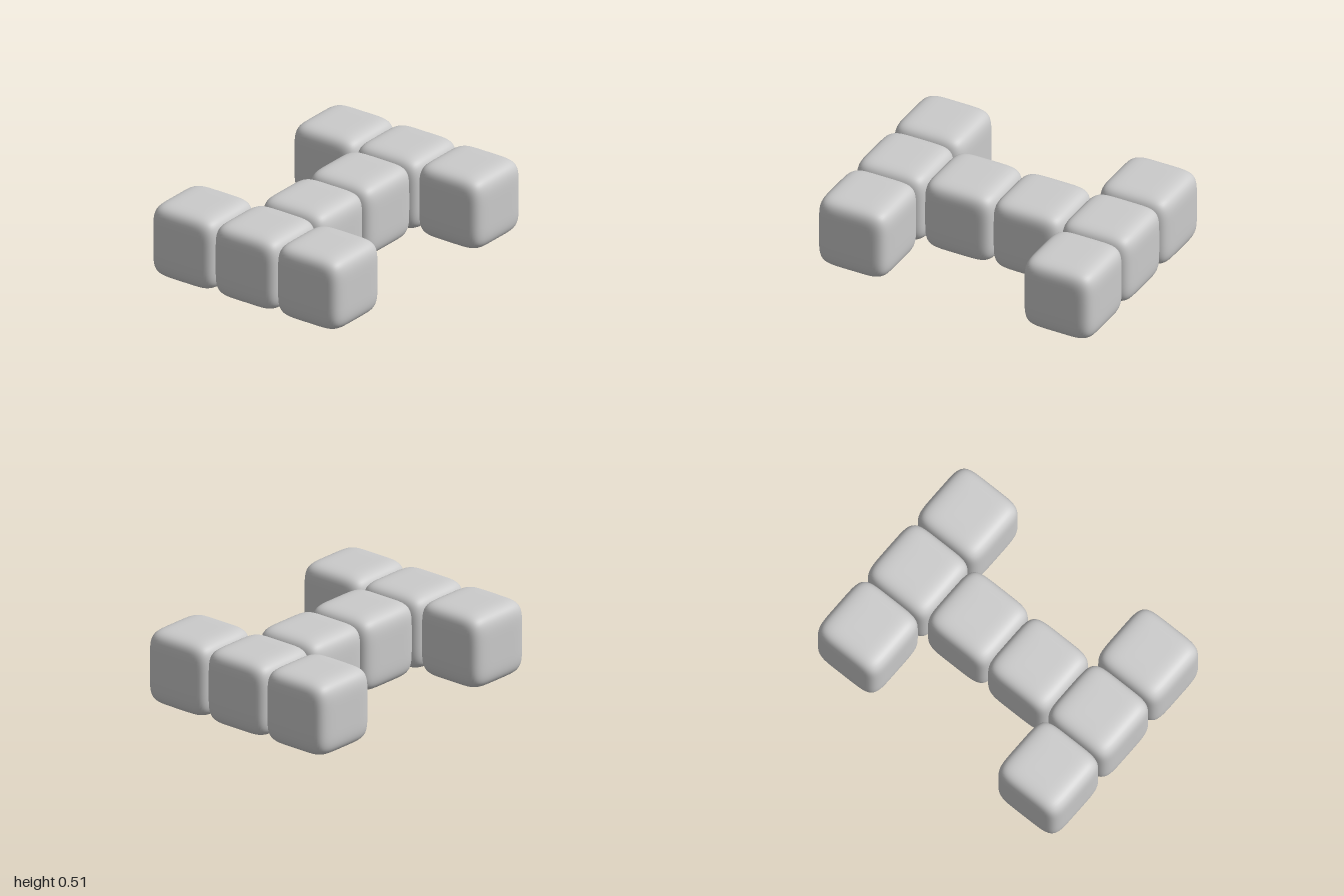
import * as THREE from 'three';

const SIZE = 0.509;   // full width of one block
const STEP = 0.497;   // spacing, so neighbours just touch
const POWER = 5.7;    // higher is boxier

// Soft cube with gently bulging faces: a box grid projected onto a superellipsoid
function softCube() {
  const geo = new THREE.BoxGeometry(2, 2, 2, 24, 24, 24);
  const pos = geo.attributes.position;
  const nor = geo.attributes.normal;
  const p = new THREE.Vector3();
  const n = new THREE.Vector3();
  const slope = (v) => Math.sign(v) * Math.abs(v) ** (POWER - 1);
  for (let i = 0; i < pos.count; i++) {
    p.fromBufferAttribute(pos, i);
    const sum = Math.abs(p.x) ** POWER + Math.abs(p.y) ** POWER + Math.abs(p.z) ** POWER;
    p.divideScalar(sum ** (1 / POWER));
    n.set(slope(p.x), slope(p.y), slope(p.z)).normalize();
    p.multiplyScalar(SIZE / 2);
    pos.setXYZ(i, p.x, p.y, p.z);
    nor.setXYZ(i, n.x, n.y, n.z);
  }
  return geo;
}

export function createModel() {
  const model = new THREE.Group();
  model.name = 'blockPiece';
  const geometry = softCube();
  const material = new THREE.MeshStandardMaterial({ color: 0xcccccc });

  const addBlock = (name, column, row) => {
    const block = new THREE.Mesh(geometry, material);
    block.name = name;
    block.position.set(column * STEP, SIZE / 2, row * STEP);
    model.add(block);
  };

  for (const [side, s] of [['left', 1], ['right', -1]]) {
    // Inner half of the crossbar
    addBlock(`${side}BarBlock`, s * 0.5, 0);
    // End row of three, running front to back
    addBlock(`${side}BackBlock`, s * 1.5, -1);
    addBlock(`${side}MiddleBlock`, s * 1.5, 0);
    addBlock(`${side}FrontBlock`, s * 1.5, 1);
  }
  return model;
}
